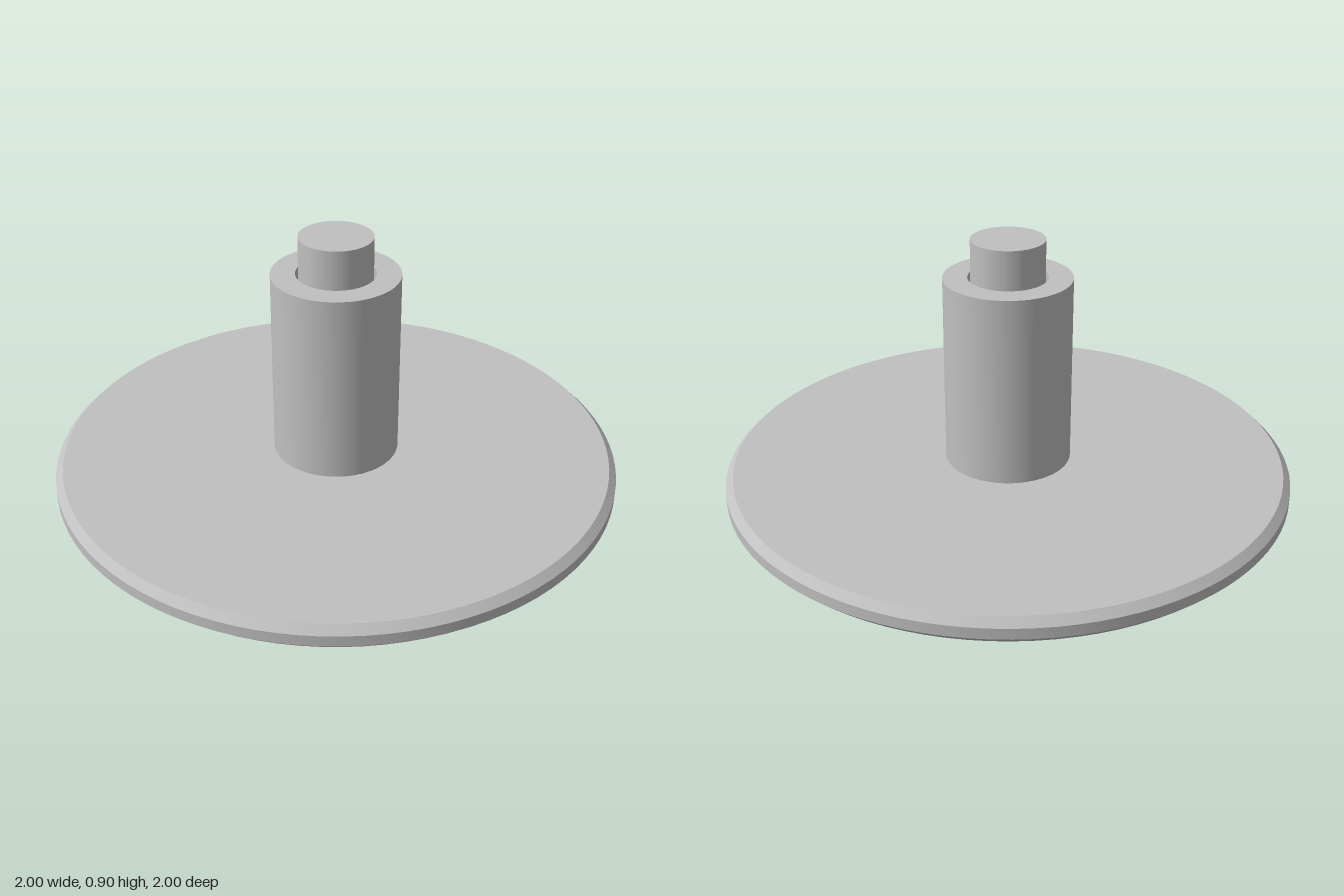
import * as THREE from 'three';
import { toCreasedNormals } from 'three/addons/utils/BufferGeometryUtils.js';

const SEGMENTS = 96;

export function createModel() {
  const model = new THREE.Group();
  model.name = 'pinStand';

  const grey = new THREE.MeshStandardMaterial({ color: 0xc0c0c0 });
  grey.name = 'plain grey';

  // Revolve a [radius, height] profile, keeping its corners sharp
  function turned(name, profile) {
    const points = profile.map(([r, y]) => new THREE.Vector2(r, y));
    const lathe = new THREE.LatheGeometry(points, SEGMENTS);
    const mesh = new THREE.Mesh(toCreasedNormals(lathe, Math.PI / 6), grey);
    mesh.name = name;
    model.add(mesh);
  }

  const baseTop = 0.09;
  const bevel = 0.026;

  // Wide disc with both rims chamfered
  turned('baseDisc', [
    [0, 0], [1 - bevel, 0], [1, bevel],
    [1, baseTop - bevel], [1 - bevel, baseTop], [0, baseTop],
  ]);

  // Hollow sleeve standing on the disc
  turned('sleeve', [
    [0.223, baseTop], [0.223, 0.765], [0.138, 0.765], [0.138, baseTop],
  ]);

  // Pin inside the sleeve, with a narrow gap around it
  turned('pin', [
    [0.128, baseTop], [0.128, 0.9], [0, 0.9],
  ]);

  return model;
}
